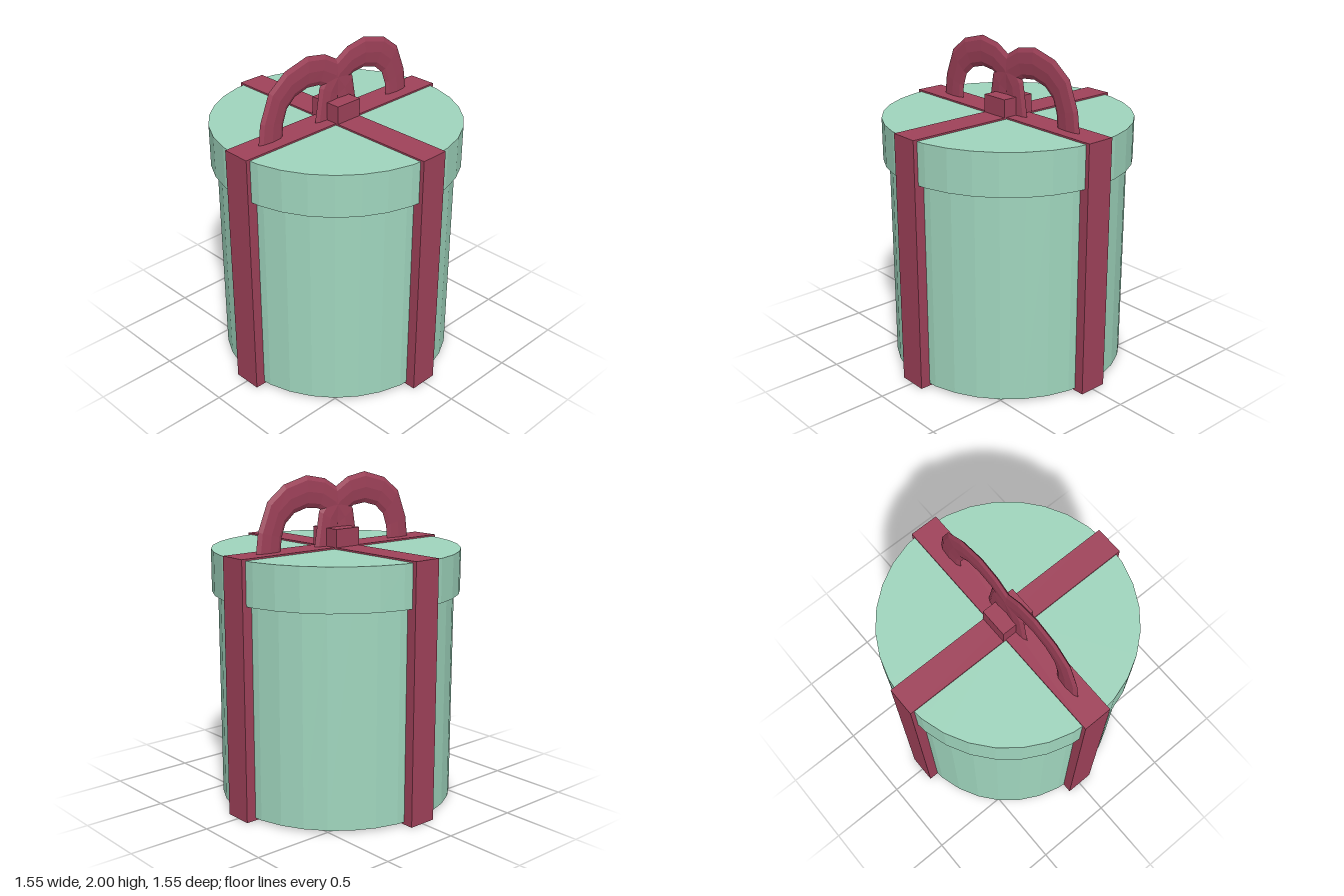
import * as THREE from 'three';

const mint = new THREE.MeshStandardMaterial({ color: 0xa0d6be });
mint.name = 'mint card';
const red = new THREE.MeshStandardMaterial({ color: 0xa0425a });
red.name = 'raspberry ribbon';

// Flat-sided geometry: every facet gets its own normal
function faceted(geometry) {
  const g = geometry.index ? geometry.toNonIndexed() : geometry;
  g.computeVertexNormals();
  return g;
}

// Flattened bow loop swept between an outer and an inner outline, both as [z, y]
function bowLoopGeometry() {
  const outer = [[0.61, 1.55], [0.59, 1.695], [0.52, 1.865], [0.40, 1.955], [0.23, 2.0],
    [0.09, 1.975], [-0.04, 1.90], [-0.135, 1.78], [-0.175, 1.55]];
  const inner = [[0.43, 1.55], [0.42, 1.65], [0.39, 1.73], [0.325, 1.785], [0.23, 1.81],
    [0.14, 1.80], [0.07, 1.76], [0.02, 1.69], [0, 1.55]];
  const sides = 8, halfThickness = 0.018;
  const positions = [], index = [];
  outer.forEach(([oz, oy], i) => {
    const [iz, iy] = inner[i];
    for (let j = 0; j < sides; j++) {
      const a = (j / sides) * Math.PI * 2;
      const t = (1 + Math.cos(a)) / 2;
      positions.push(halfThickness * Math.sin(a), iy + (oy - iy) * t, iz + (oz - iz) * t);
      if (i < outer.length - 1) {
        const p = i * sides + j, q = i * sides + (j + 1) % sides;
        index.push(p, q, p + sides, q, q + sides, p + sides);
      }
    }
  });
  const g = new THREE.BufferGeometry();
  g.setAttribute('position', new THREE.Float32BufferAttribute(positions, 3));
  g.setIndex(index);
  return faceted(g);
}

export function createModel() {
  const model = new THREE.Group();
  model.name = 'giftBox';
  const add = (name, geometry, material, y = 0) => {
    const mesh = new THREE.Mesh(geometry, material);
    mesh.name = name;
    mesh.position.y = y;
    model.add(mesh);
    return mesh;
  };

  // Round box and its wider lid
  add('boxBody', faceted(new THREE.CylinderGeometry(0.72, 0.72, 1.29, 32)), mint, 0.66);
  add('lid', faceted(new THREE.CylinderGeometry(0.757, 0.757, 0.26, 32)), mint, 1.43);

  // Two crossing ribbon bands that wrap the whole box
  add('ribbonAcross', new THREE.BoxGeometry(1.547, 1.57, 0.18), red, 0.785);
  add('ribbonFrontToBack', new THREE.BoxGeometry(0.18, 1.57, 1.547), red, 0.785);

  // Bow: square knot and two opposite loops
  add('bowKnot', new THREE.BoxGeometry(0.216, 0.2, 0.18), red, 1.58);
  const loop = bowLoopGeometry();
  add('frontBowLoop', loop, red);
  add('backBowLoop', loop, red).rotation.y = Math.PI;

  return model;
}
